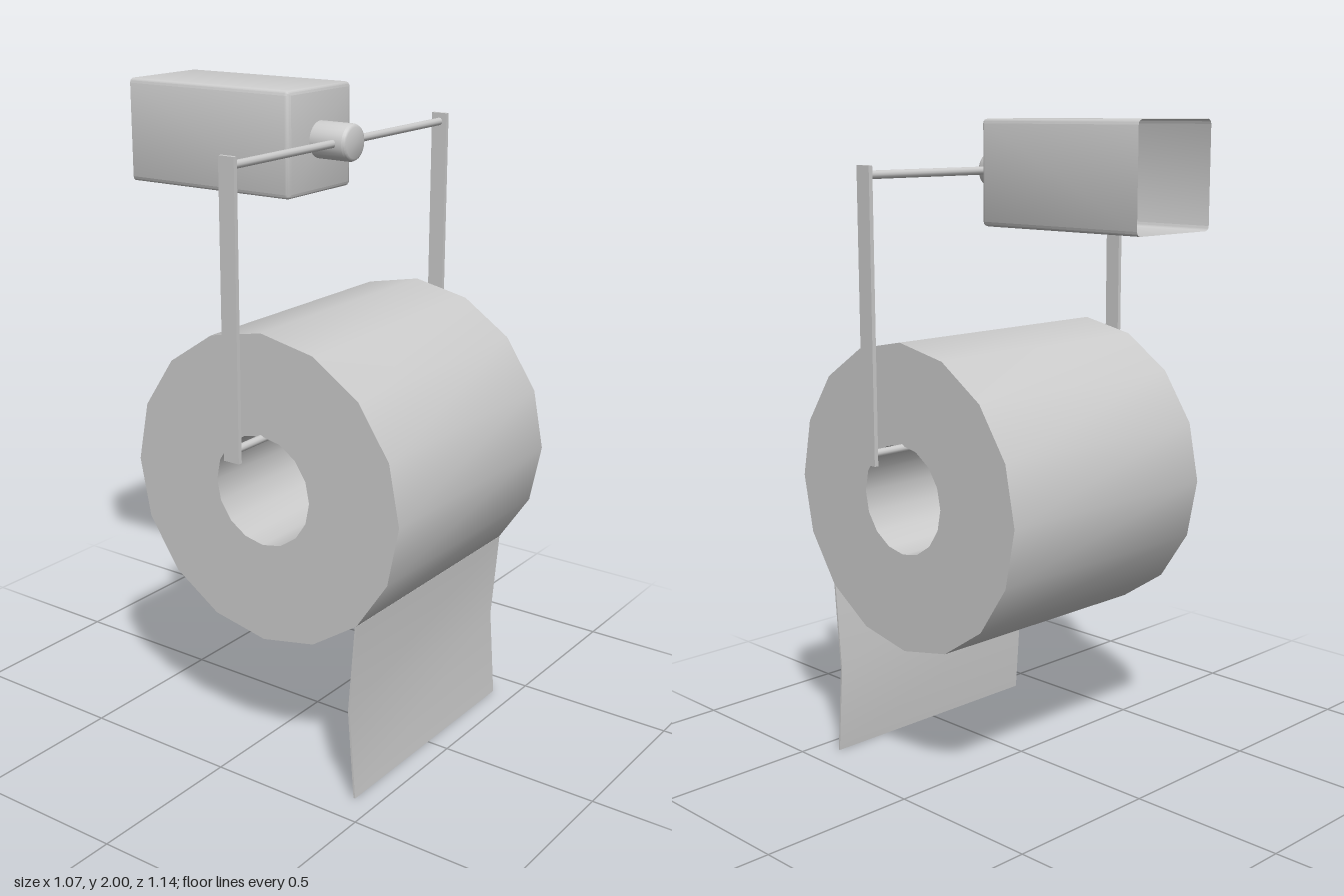
import * as THREE from 'three';
import { toCreasedNormals } from 'three/addons/utils/BufferGeometryUtils.js';

const material = new THREE.MeshStandardMaterial({ color: 0xcccccc });
const openMaterial = new THREE.MeshStandardMaterial({ color: 0xcccccc, side: THREE.DoubleSide });

const ROD_Z = 0.092;

function part(name, geometry, x, y, z, mat = material) {
  const mesh = new THREE.Mesh(geometry, mat);
  mesh.name = name;
  mesh.position.set(x, y, z);
  return mesh;
}

const lathe = (points, sides, crease) => toCreasedNormals(
  new THREE.LatheGeometry(points.map(([r, y]) => new THREE.Vector2(r, y)), sides), crease);

// Hollow bracket, open at the back, softened at the front and leaning slightly sideways
function bracketGeometry() {
  const half = 0.155, r = 0.014, depth = 0.582, steps = 3;
  const sections = [[-depth, 0]]; // [z, inset]
  for (let i = 0; i <= steps; i++) {
    const a = (i / steps) * Math.PI / 2;
    sections.push([-r + r * Math.sin(a), r * (1 - Math.cos(a))]);
  }
  sections.push([0, half]); // close the front face at its centre
  const positions = [], index = [], n = 4 * (steps + 1);
  for (const [z, inset] of sections) {
    const radius = Math.max(r - inset, 0), core = half - inset - radius;
    for (let c = 0; c < 4; c++) {
      for (let i = 0; i <= steps; i++) {
        const a = (c + i / steps) * Math.PI / 2;
        const sx = c === 0 || c === 3 ? 1 : -1, sy = c < 2 ? 1 : -1;
        positions.push(sx * core + radius * Math.cos(a) + 0.034 * z, sy * core + radius * Math.sin(a), z);
      }
    }
  }
  for (let s = 0; s < sections.length - 1; s++) {
    for (let i = 0; i < n; i++) {
      const a = s * n + i, b = s * n + (i + 1) % n;
      index.push(a, b, b + n);
      if (s < sections.length - 2) index.push(a, b + n, a + n);
    }
  }
  const geometry = new THREE.BufferGeometry();
  geometry.setAttribute('position', new THREE.Float32BufferAttribute(positions, 3));
  geometry.setIndex(index);
  return toCreasedNormals(geometry, 0.65);
}

// Hanging sheet, bent inwards at half height
function sheetGeometry(width, height) {
  const geometry = new THREE.BoxGeometry(width, height, 0.006, 1, 2, 1);
  const p = geometry.attributes.position;
  for (let i = 0; i < p.count; i++) {
    if (Math.abs(p.getY(i)) < 0.01) p.setZ(i, p.getZ(i) - 0.022);
  }
  return toCreasedNormals(geometry, 0.6);
}

export function createModel() {
  const group = new THREE.Group();

  // Wall bracket and the peg that carries the hanger
  group.add(part('wallBracket', bracketGeometry(), -0.002, 1.846, 0.012, openMaterial));
  const peg = lathe([[0.055, -0.01], [0.055, 0.112], [0.052, 0.119], [0.045, 0.123], [0, 0.123]], 24, 0.7);
  peg.rotateX(Math.PI / 2);
  group.add(part('peg', peg, -0.002, 1.848, 0.012));

  // Wire hanger: two rods joined by flat side bars
  const hanger = new THREE.Group();
  hanger.name = 'hanger';
  const rod = new THREE.CylinderGeometry(0.012, 0.012, 1.052, 12).rotateZ(Math.PI / 2);
  hanger.add(part('topRod', rod, 0, 1.848, ROD_Z), part('rollRod', rod, 0, 1.052, ROD_Z));
  const bar = new THREE.BoxGeometry(0.013, 0.855, 0.053);
  for (const side of [-1, 1]) {
    hanger.add(part(side > 0 ? 'leftBar' : 'rightBar', bar, side * 0.526, 1.4475, ROD_Z));
  }
  group.add(hanger);

  // Paper roll with a hollow core, sixteen sided
  const h = 0.403;
  const roll = lathe([[0.168, -h], [0.472, -h], [0.472, h], [0.168, h], [0.168, -h]], 16, 0.6);
  roll.rotateZ(Math.PI / 2);
  group.add(part('paperRoll', roll, 0.003, 0.893, 0.095));

  // Loose end of the paper
  group.add(part('hangingSheet', sheetGeometry(2 * h, 0.56), 0.003, 0.28, 0.427));

  return group;
}
